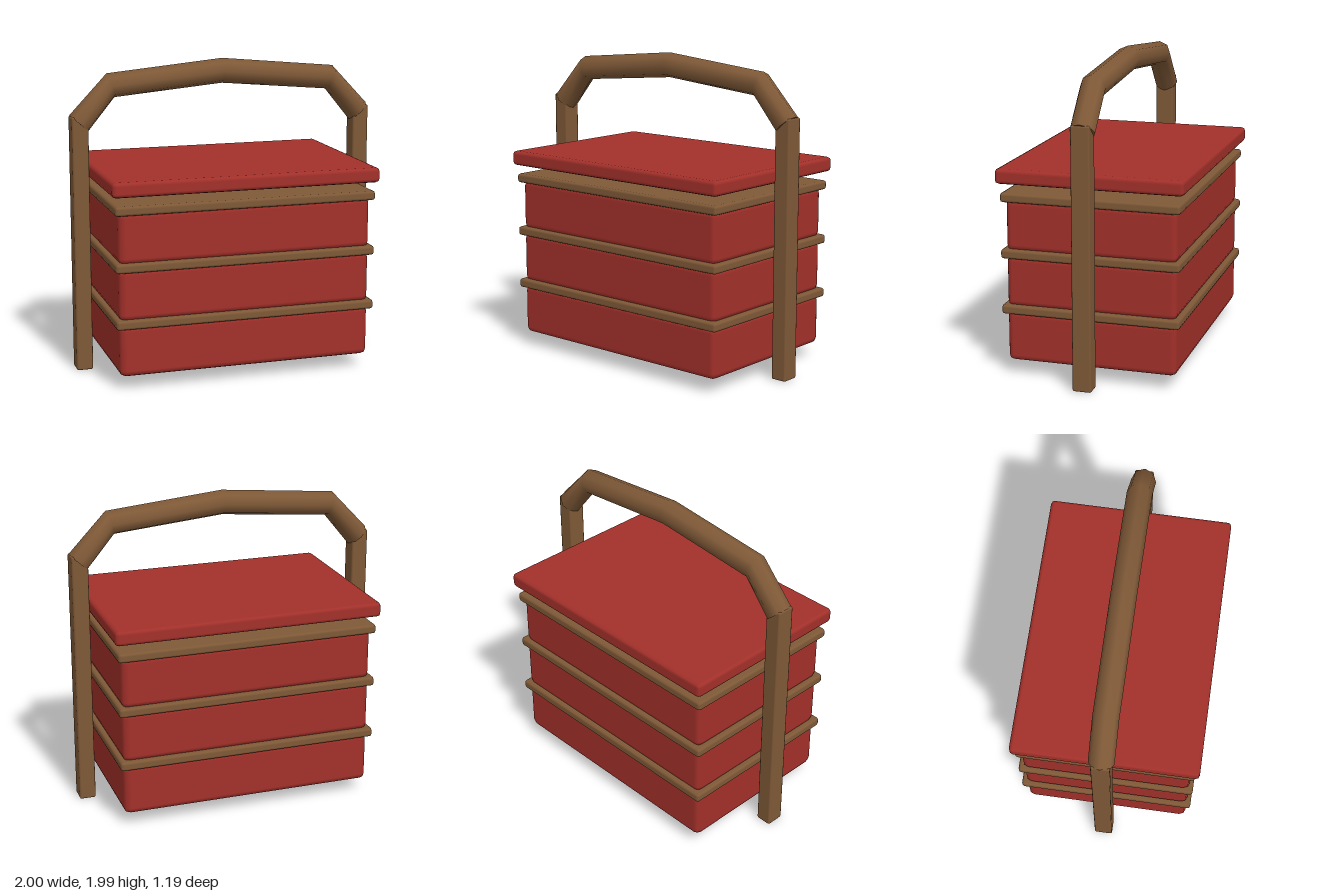
import * as THREE from 'three';
import { RoundedBoxGeometry } from 'three/addons/geometries/RoundedBoxGeometry.js';

// Faceted bar swept along a bent path in the XY plane, with closed ends.
function bentBar(points, radius, sides) {
  const pos = [], index = [];
  const last = points.length - 1;
  // Each ring faces along the chord between its neighbours
  const addRing = (i) => {
    const here = points[i];
    const dir = points[Math.min(i + 1, last)].clone().sub(points[Math.max(i - 1, 0)]).normalize();
    for (let j = 0; j < sides; j++) {
      const a = (j / sides) * Math.PI * 2;
      const r = Math.cos(a) * radius;
      pos.push(here.x - dir.y * r, here.y + dir.x * r, Math.sin(a) * radius);
    }
  };
  points.forEach((_, i) => addRing(i));
  for (let i = 0; i < last; i++) {
    for (let j = 0; j < sides; j++) {
      const a = i * sides + j, b = i * sides + (j + 1) % sides;
      index.push(a, b, a + sides, b, b + sides, a + sides);
    }
  }
  // End caps use their own rings so their edges stay sharp
  for (const end of [0, last]) {
    const start = pos.length / 3;
    addRing(end);
    for (let j = 1; j < sides - 1; j++) {
      if (end === 0) index.push(start, start + j + 1, start + j);
      else index.push(start, start + j, start + j + 1);
    }
  }
  const geometry = new THREE.BufferGeometry();
  geometry.setAttribute('position', new THREE.Float32BufferAttribute(pos, 3));
  geometry.setIndex(index);
  geometry.computeVertexNormals();
  return geometry;
}

export function createModel() {
  const model = new THREE.Group();
  model.name = 'stackedLunchBox';

  const red = new THREE.MeshStandardMaterial({ color: 0xa3302a });
  red.name = 'red lacquer';
  const wood = new THREE.MeshStandardMaterial({ color: 0x7f5937 });
  wood.name = 'brown wood';

  const add = (name, geometry, material, x = 0, y = 0) => {
    const mesh = new THREE.Mesh(geometry, material);
    mesh.name = name;
    mesh.position.set(x, y, 0);
    model.add(mesh);
  };

  // Three trays, each topped by a protruding wooden band
  const tray = new RoundedBoxGeometry(1.64, 0.33, 1.09, 1, 0.04);
  const band = new RoundedBoxGeometry(1.69, 0.06, 1.14, 1, 0.018);
  for (let i = 0; i < 3; i++) {
    add('tray' + (i + 1), tray, red, 0, 0.253 + i * 0.357);
    add('band' + (i + 1), band, wood, 0, 0.43 + i * 0.357);
  }

  // Raised lid
  add('lid', new RoundedBoxGeometry(1.73, 0.095, 1.19, 1, 0.025), red, 0, 1.279);

  // Side posts
  const post = new RoundedBoxGeometry(0.106, 1.65, 0.12, 1, 0.012);
  add('leftPost', post, wood, 0.942, 0.825);
  add('rightPost', post, wood, -0.942, 0.825);

  // Arched carrying handle
  const arch = [[-0.94, 1.605], [-0.733, 1.837], [0, 1.905], [0.733, 1.837], [0.94, 1.605]]
    .map(([x, y]) => new THREE.Vector2(x, y));
  add('handle', bentBar(arch, 0.08, 8), wood);

  return model;
}
